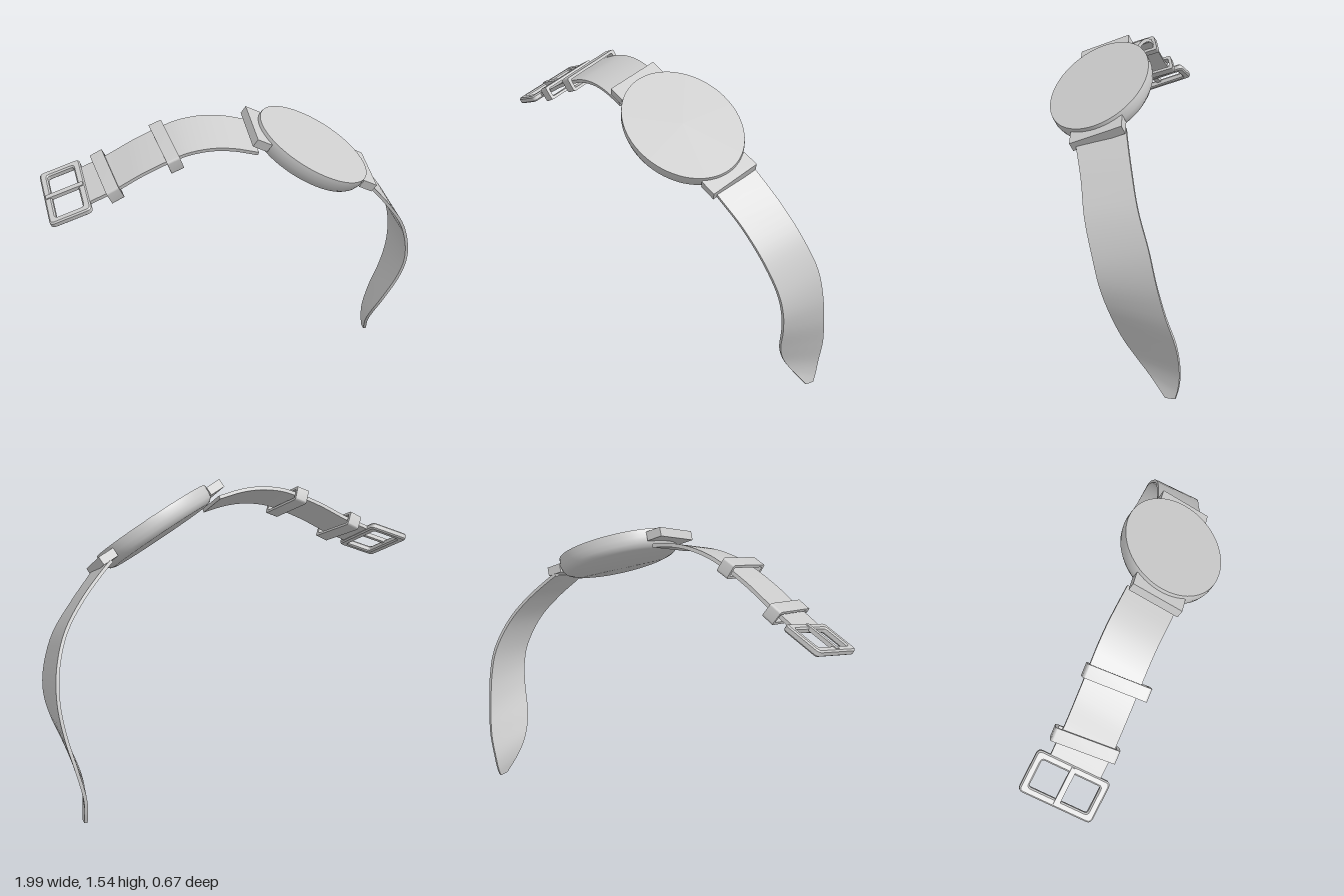
import * as THREE from 'three';
import { toCreasedNormals } from 'three/addons/utils/BufferGeometryUtils.js';

const V = (x, y, z) => new THREE.Vector3(x, y, z);

// Direction across the straps, shared by every part
const ACROSS = V(-0.178, -0.348, 0.92).normalize();

const grey = new THREE.MeshStandardMaterial({ color: 0xcccccc });
grey.name = 'light grey';

function part(name, geometry) {
  const mesh = new THREE.Mesh(toCreasedNormals(geometry, 0.6), grey);
  mesh.name = name;
  return mesh;
}

// Group with x along the strap, y out of its upper face and z across it
function frame(name, centre, along) {
  const x = along.clone().normalize();
  const z = ACROSS.clone().addScaledVector(x, -ACROSS.dot(x)).normalize();
  const y = z.clone().cross(x);
  const group = new THREE.Group();
  group.name = name;
  group.quaternion.setFromRotationMatrix(new THREE.Matrix4().makeBasis(x, y, z));
  group.position.copy(centre);
  return group;
}

function roundedRect(path, w, h, r) {
  const x = w / 2, y = h / 2;
  path.moveTo(-x + r, -y);
  path.lineTo(x - r, -y).quadraticCurveTo(x, -y, x, -y + r);
  path.lineTo(x, y - r).quadraticCurveTo(x, y, x - r, y);
  path.lineTo(-x + r, y).quadraticCurveTo(-x, y, -x, y - r);
  path.lineTo(-x, -y + r).quadraticCurveTo(-x, -y, -x + r, -y);
  return path;
}

// Rectangular ring, centred on its thickness
function ring(w, h, wallX, wallY, r, depth, bevel) {
  const shape = roundedRect(new THREE.Shape(), w, h, r);
  shape.holes.push(roundedRect(new THREE.Path(), w - 2 * wallX, h - 2 * wallY, r * 0.5));
  const geometry = new THREE.ExtrudeGeometry(shape, {
    depth: depth - 2 * bevel, curveSegments: 4, bevelEnabled: bevel > 0,
    bevelSize: bevel, bevelOffset: -bevel, bevelThickness: bevel, bevelSegments: 1,
  });
  return geometry.translate(0, 0, -depth / 2 + bevel);
}

// Thin band lofted between two edge curves
function band(edgeA, edgeB, thickness, steps = 48) {
  const a = new THREE.CatmullRomCurve3(edgeA), b = new THREE.CatmullRomCurve3(edgeB);
  const pos = [], index = [];
  for (let i = 0; i <= steps; i++) {
    const t = i / steps;
    const p = a.getPoint(t), q = b.getPoint(t);
    const tangent = a.getTangent(t).add(b.getTangent(t));
    const n = tangent.cross(q.clone().sub(p)).normalize().multiplyScalar(thickness / 2);
    for (const [e, s] of [[p, -1], [q, -1], [q, 1], [p, 1]]) {
      pos.push(e.x + n.x * s, e.y + n.y * s, e.z + n.z * s);
    }
    if (i === steps) break;
    for (let j = 0; j < 4; j++) {
      const c = i * 4 + j, d = i * 4 + (j + 1) % 4;
      index.push(c, d, c + 4, d, d + 4, c + 4);
    }
  }
  const e = steps * 4;
  index.push(0, 2, 1, 0, 3, 2, e, e + 1, e + 2, e, e + 2, e + 3);
  const geometry = new THREE.BufferGeometry();
  geometry.setAttribute('position', new THREE.Float32BufferAttribute(pos, 3));
  geometry.setIndex(index);
  return geometry;
}

export function createModel() {
  const model = new THREE.Group();
  model.name = 'wristwatch';

  // Oval case with flat dial on top and rounded back edge
  const head = frame('watchHead', V(0.343, 1.34, 0.097), V(0.891, -0.454, 0));
  const profile = [[0, -0.09], [0.86, -0.09], [0.93, -0.083], [0.98, -0.065],
    [1.005, -0.04], [1.005, -0.012], [1, 0], [0, 0]];
  const body = new THREE.LatheGeometry(profile.map(([r, y]) => new THREE.Vector2(r, y)), 72);
  head.add(part('case', body.scale(0.329, 1, 0.257)));

  // Lugs at both ends of the case
  for (const side of [-1, 1]) {
    const lug = part(side < 0 ? 'upperLug' : 'lowerLug', new THREE.BoxGeometry(0.085, 0.045, 0.26));
    lug.position.set(side * 0.334, -0.04, 0);
    head.add(lug);
  }
  model.add(head);

  // Long strap, hanging down to a tapered tip
  const longFront = [[0.61, 1.12, 0.183], [0.635, 1.09, 0.177], [0.757, 0.965, 0.145],
    [0.875, 0.816, 0.12], [0.942, 0.655, 0.08], [0.953, 0.55, 0.055], [0.933, 0.44, 0.02],
    [0.877, 0.28, -0.045], [0.857, 0.175, -0.11], [0.866, 0.095, -0.17], [0.9, 0, -0.24]];
  const longBack = [[0.635, 1.18, -0.05], [0.67, 1.15, -0.055], [0.807, 1.013, -0.083],
    [0.912, 0.87, -0.115], [0.976, 0.71, -0.164], [0.992, 0.565, -0.197], [0.98, 0.415, -0.237],
    [0.95, 0.255, -0.288], [0.92, 0.12, -0.304], [0.914, 0.05, -0.298], [0.912, 0, -0.285]];
  model.add(part('longStrap', band(longFront.map(p => V(...p)), longBack.map(p => V(...p)), 0.016)));

  // Short strap, arching over to the buckle
  const middle = [[0.02, 1.41, 0.054], [-0.1, 1.44, 0.032], [-0.2, 1.449, 0.012],
    [-0.31, 1.438, -0.008], [-0.39, 1.414, -0.022], [-0.53, 1.355, -0.05],
    [-0.66, 1.286, -0.08], [-0.785, 1.228, -0.115]].map(p => V(...p));
  const edge = s => middle.map(p => p.clone().addScaledVector(ACROSS, s * 0.128));
  model.add(part('shortStrap', band(edge(1), edge(-1), 0.018)));

  // Two strap keepers
  const keepers = [[V(-0.405, 1.406, -0.008), V(1, 0.4, 0.2)],
    [V(-0.68, 1.27, -0.092), V(1, 0.5, 0.22)]];
  for (const [centre, along] of keepers) {
    const keeper = frame('keeper', centre, along);
    keeper.add(part('keeperLoop', ring(0.315, 0.075, 0.017, 0.014, 0.012, 0.065, 0).rotateY(Math.PI / 2)));
    model.add(keeper);
  }

  // Buckle frame with its tongue
  const buckle = frame('buckle', V(-0.873, 1.195, -0.144), V(0.907, 0.337, 0.26));
  buckle.add(part('buckleFrame', ring(0.21, 0.37, 0.037, 0.037, 0.025, 0.034, 0.007).rotateX(Math.PI / 2)));
  const tongue = part('buckleTongue', new THREE.BoxGeometry(0.19, 0.02, 0.026));
  tongue.position.y = 0.012;
  buckle.add(tongue);
  model.add(buckle);

  return model;
}
